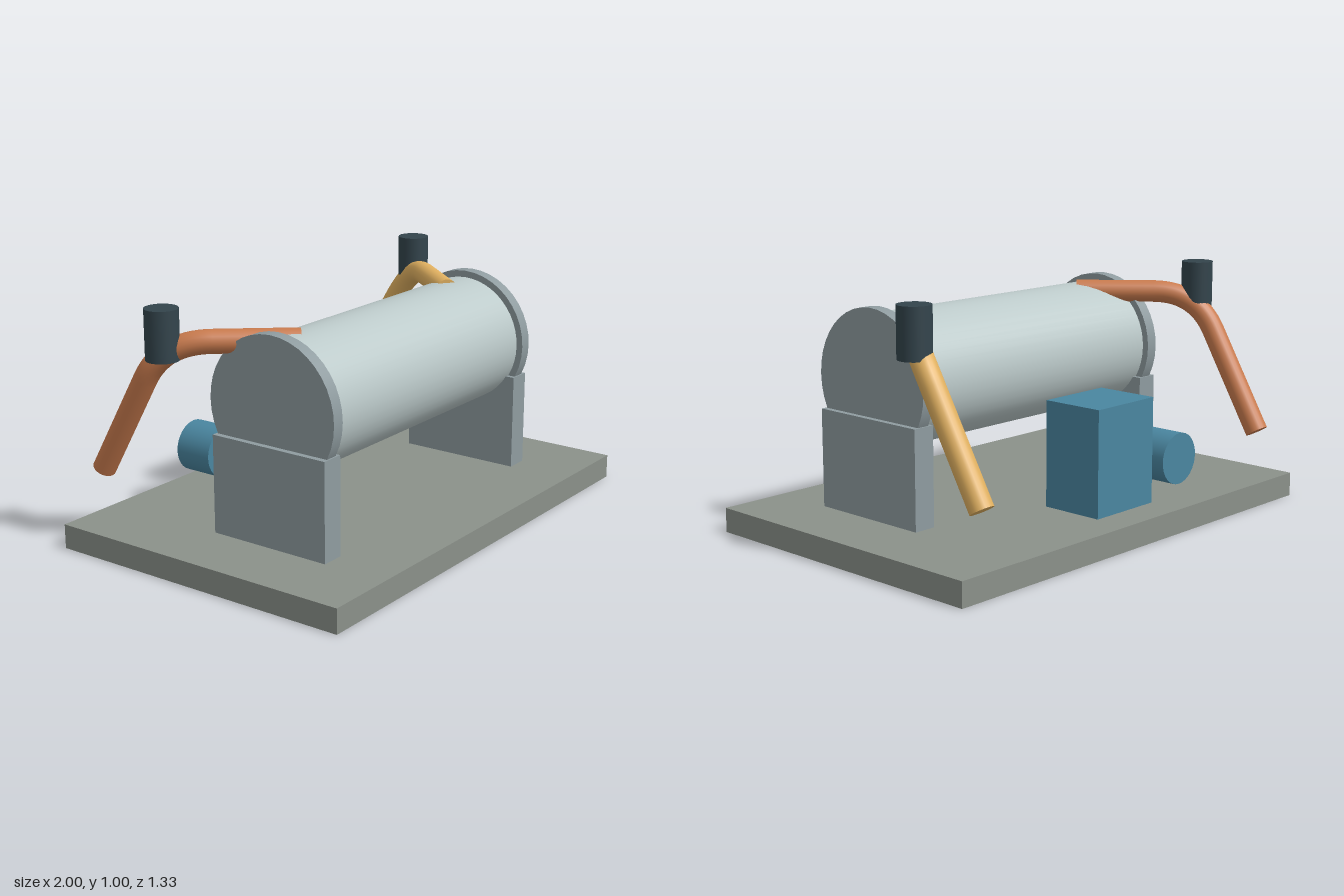
import * as THREE from 'three';

const mat = (color) => new THREE.MeshStandardMaterial({ color });

export function createModel() {
  const model = new THREE.Group();
  const steel = mat(0x8f9ca0), shell = mat(0xbccaca), dark = mat(0x33444c), blue = mat(0x4a86a0);

  function add(name, geometry, material, x, y, z) {
    const mesh = new THREE.Mesh(geometry, material);
    mesh.name = name;
    mesh.position.set(x, y, z);
    model.add(mesh);
    return mesh;
  }

  // Base slab
  add('base', new THREE.BoxGeometry(2, 0.1, 1.333), mat(0x8b918a), 0, 0.05, 0);

  // Horizontal drum
  const drumY = 0.635, drumZ = 0.133;
  add('drum', new THREE.CylinderGeometry(0.265, 0.265, 1.333, 48).rotateZ(Math.PI / 2), shell, 0, drumY, drumZ);

  // Pump block and motor behind the drum
  add('pumpBlock', new THREE.BoxGeometry(0.33, 0.43, 0.267), blue, 0, 0.335, -0.433);
  add('motor', new THREE.CylinderGeometry(0.106, 0.106, 0.167, 32).rotateX(Math.PI / 2), blue, -0.335, 0.27, -0.487);

  for (const side of [1, -1]) {
    const label = side > 0 ? 'left' : 'right';

    // End flange and its support
    add(label + 'Flange', new THREE.CylinderGeometry(0.293, 0.293, 0.053, 40).rotateZ(Math.PI / 2), steel, side * 0.665, drumY, drumZ);
    add(label + 'Support', new THREE.BoxGeometry(0.096, 0.4, 0.533), steel, side * 0.667, 0.3, drumZ);

    // Valve body
    add(label + 'Valve', new THREE.CylinderGeometry(0.066, 0.066, 0.2, 32), dark, side * 0.833, 0.9, -0.267);

    // Pipe: two straight runs joined by a rounded bend at the valve
    const start = new THREE.Vector3(side * 0.5, 0.868, 0.13);
    const corner = new THREE.Vector3(side * 0.833, 0.868, -0.267);
    const end = new THREE.Vector3(side * 0.833, 0.302, -0.6);
    const bendIn = corner.clone().lerp(start, 0.36);
    const bendOut = corner.clone().lerp(end, 0.28);
    const bend = new THREE.QuadraticBezierCurve3(bendIn, corner, bendOut);
    const path = new THREE.CurvePath();
    path.add(new THREE.LineCurve3(start, bendIn));
    path.add(bend);
    path.add(new THREE.LineCurve3(bendOut, end));
    const pipeMat = mat(side > 0 ? 0xe0b060 : 0xc97b4e);
    add(label + 'Pipe', new THREE.TubeGeometry(path, 48, 0.047, 20), pipeMat, 0, 0, 0);

    // Closed pipe ends
    for (const [tip, inner] of [[start, bendIn], [end, bendOut]]) {
      const cap = add(label + 'PipeCap', new THREE.CircleGeometry(0.047, 20), pipeMat, tip.x, tip.y, tip.z);
      cap.lookAt(tip.clone().multiplyScalar(2).sub(inner));
    }
  }
  return model;
}
